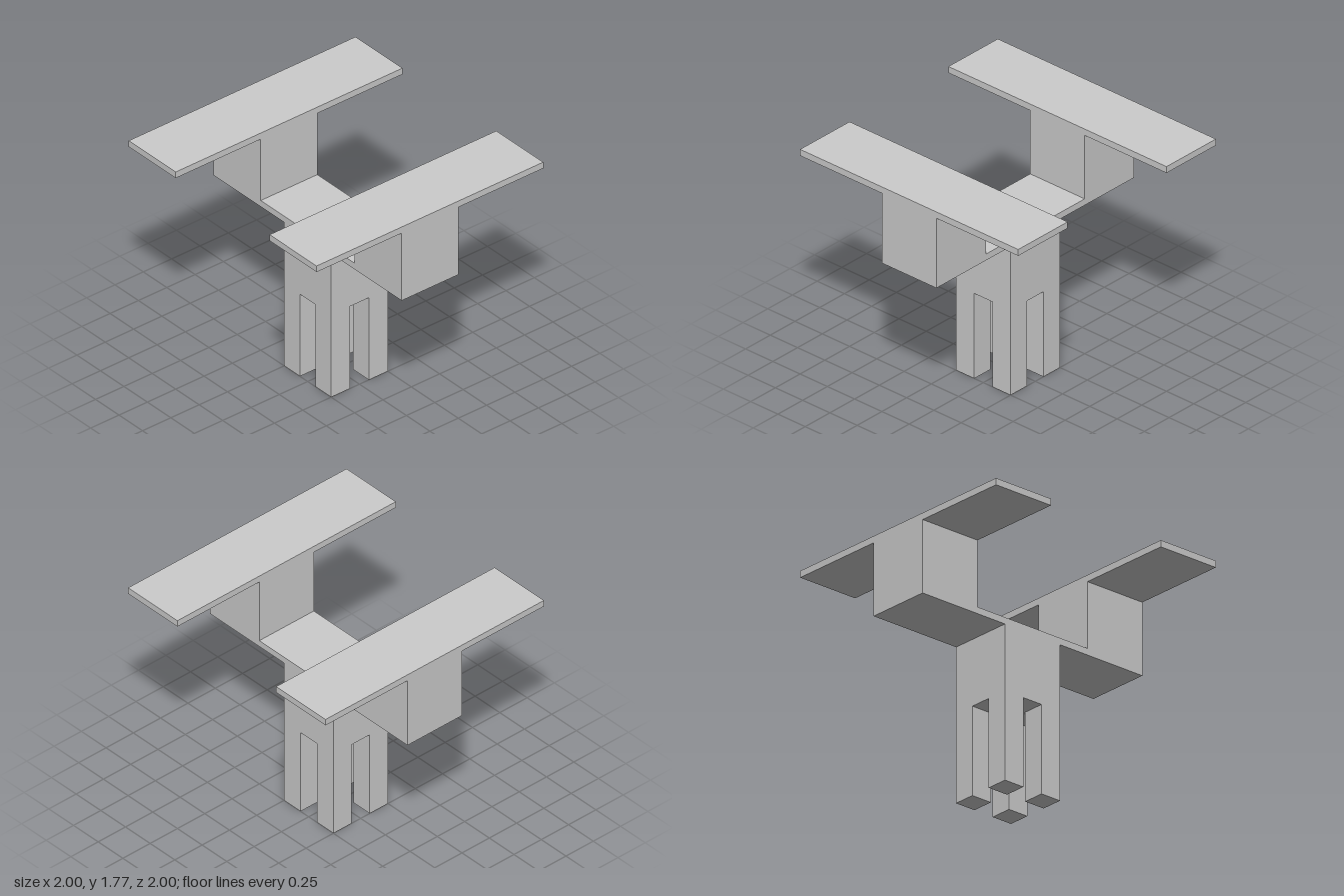
import * as THREE from 'three';

const material = new THREE.MeshStandardMaterial({ color: 0xcccccc, flatShading: true });

// Box given by its lower and upper limits on each axis
function block(name, [x0, x1], [y0, y1], [z0, z1]) {
  const mesh = new THREE.Mesh(new THREE.BoxGeometry(x1 - x0, y1 - y0, z1 - z0), material);
  mesh.position.set((x0 + x1) / 2, (y0 + y1) / 2, (z0 + z1) / 2);
  mesh.name = name;
  return mesh;
}

export function createModel() {
  const model = new THREE.Group();
  model.name = 'twinTopStand';

  const half = 0.25;      // half width of pedestal and bridge
  const legInner = 0.083; // half gap between legs
  const legTop = 0.67, bridgeBottom = 1.17, bridgeTop = 1.22, topBottom = 1.72, top = 1.77;

  // Mirrored range on one side of an axis
  const side = (s, a, b) => (s > 0 ? [a, b] : [-b, -a]);

  // Pedestal and the bridge across it
  model.add(block('pedestal', [-half, half], [legTop, bridgeBottom], [-half, half]));
  model.add(block('bridge', [-0.5, 0.5], [bridgeBottom, bridgeTop], [-half, half]));

  for (const sx of [1, -1]) {
    const label = sx > 0 ? 'left' : 'right';

    // Upright block carrying a long flat top
    model.add(block(label + 'Support', side(sx, 0.5, 1), [bridgeBottom, topBottom], [-half, half]));
    model.add(block(label + 'Top', side(sx, 0.5, 1), [topBottom, top], [-1, 1]));

    // Front and back legs
    for (const sz of [1, -1]) {
      const name = label + (sz > 0 ? 'Front' : 'Back') + 'Leg';
      model.add(block(name, side(sx, legInner, half), [0, legTop], side(sz, legInner, half)));
    }
  }
  return model;
}
